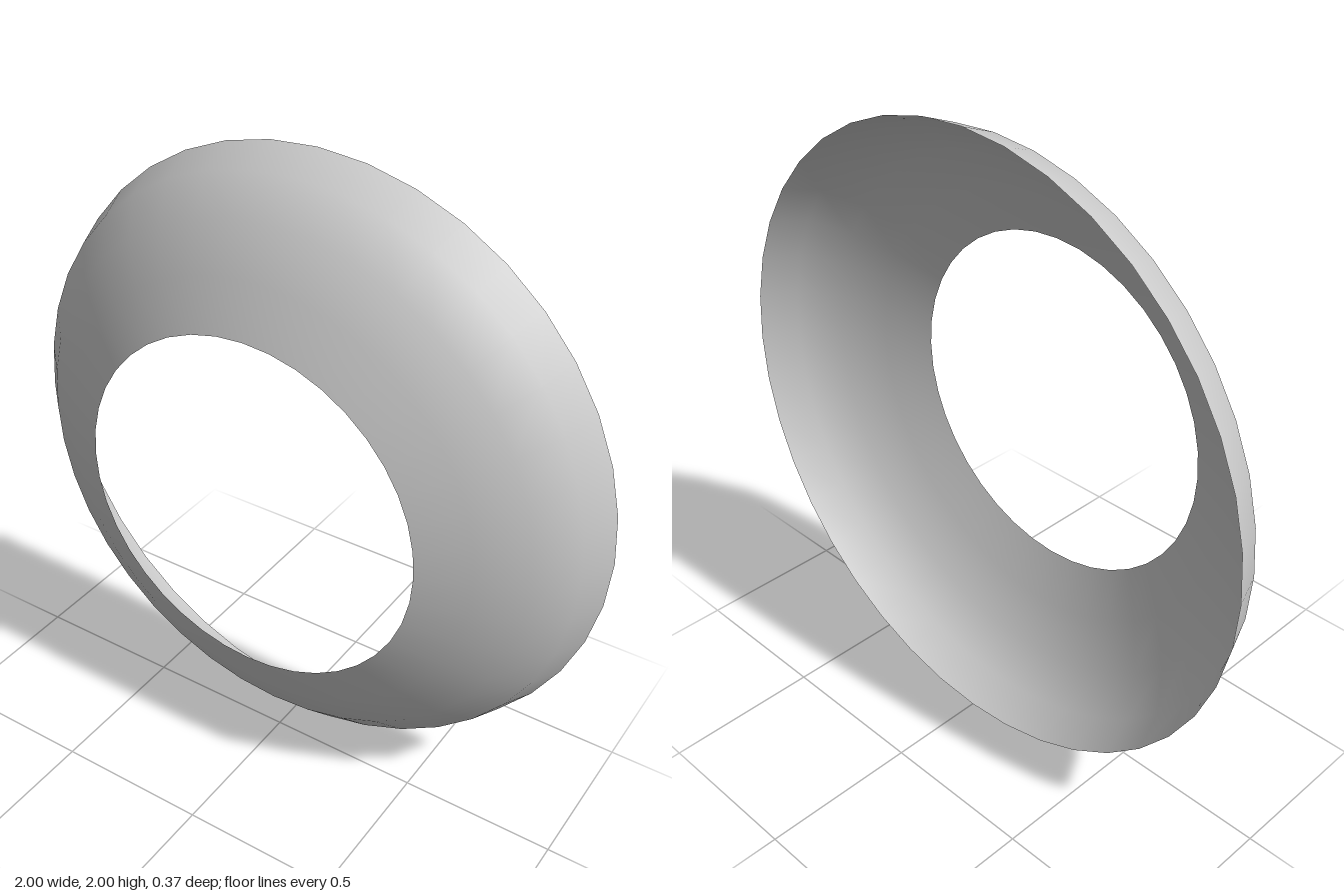
import * as THREE from 'three';

export function createModel() {
  const group = new THREE.Group();
  group.name = 'ringShell';

  // Profile from the wide back rim to the front opening: radius, depth
  const profile = [
    [1.0, -0.185],
    [0.953, -0.067],
    [0.85, 0.036],
    [0.714, 0.117],
    [0.565, 0.185],
  ].map(([r, z]) => new THREE.Vector2(r, z));

  // Thin open dish, its axis turned to face the front
  const geometry = new THREE.LatheGeometry(profile, 40);
  geometry.rotateX(Math.PI / 2);
  const material = new THREE.MeshStandardMaterial({ color: 0xcccccc, side: THREE.DoubleSide });
  const dish = new THREE.Mesh(geometry, material);
  dish.name = 'curvedRing';
  dish.position.y = 1;
  group.add(dish);

  return group;
}
